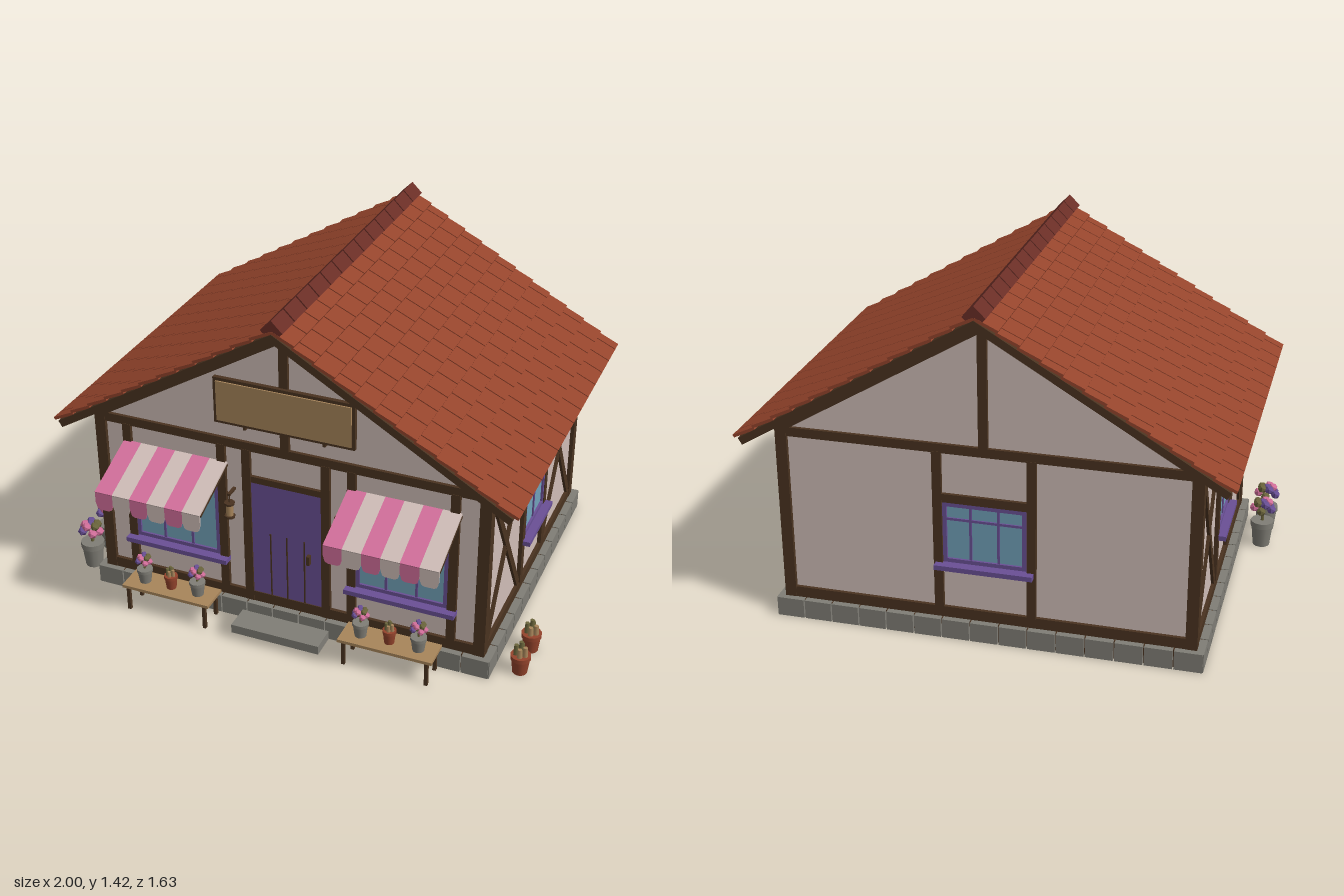
import * as THREE from 'three';

const mat = (name, color) => Object.assign(new THREE.MeshStandardMaterial({ color }), { name });
const plaster = mat('plaster', 0xd0beb8), wood = mat('dark wood', 0x4a3320), tile = mat('roof tile', 0x95442c),
  ridgeMat = mat('ridge tile', 0x6a2e26), stone = mat('stone', 0x807e76), paint = mat('purple paint', 0x6a5096),
  glass = mat('glass', 0x72a2ba), tan = mat('light wood', 0xa8855a), pink = mat('pink', 0xd4709c), leaf = mat('foliage', 0x6b653c);

const ZC = -0.075; // house centre along z
const SLOPE = 0.538, LEN = 1.105, APEX = 1.362, ROOF_Z = 1.485;

function group(parent, name, x = 0, y = 0, z = 0, ry = 0) {
  const g = new THREE.Group();
  g.name = name;
  g.position.set(x, y, z);
  g.rotation.y = ry;
  parent.add(g);
  return g;
}
function add(parent, name, geo, m, x = 0, y = 0, z = 0) {
  const mesh = new THREE.Mesh(geo, m);
  mesh.name = name;
  mesh.position.set(x, y, z);
  parent.add(mesh);
  return mesh;
}
// box given by its bounds
const bar = (p, name, m, x0, x1, y0, y1, z0, z1) =>
  add(p, name, new THREE.BoxGeometry(x1 - x0, y1 - y0, z1 - z0), m, (x0 + x1) / 2, (y0 + y1) / 2, (z0 + z1) / 2);
// upright timber centred on x, on a wall face at local z = 0
const post = (p, x, y0, y1, w = 0.036) => bar(p, 'post', wood, x - w / 2, x + w / 2, y0, y1, -0.01, 0.016);
const beam = (p, x0, x1, y0, y1) => bar(p, 'beam', wood, x0, x1, y0, y1, -0.01, 0.014);

// framed window on a wall face, with evenly spaced panes and one crossbar
function makeWindow(p, x, w, y0, y1, cols, railY, sillW) {
  const g = group(p, 'window', x), h = w / 2, f = 0.016;
  bar(g, 'glass', glass, -h, h, y0, y1, 0, 0.004);
  for (const s of [-1, 1]) bar(g, 'windowFrame', paint, s * (h - f / 2) - f / 2, s * (h - f / 2) + f / 2, y0, y1, 0, 0.013);
  bar(g, 'windowFrame', paint, -h, h, y1 - f, y1, 0, 0.013);
  bar(g, 'windowFrame', paint, -h, h, y0, y0 + f, 0, 0.013);
  for (let i = 1; i < cols; i++) {
    const mx = -h + w * i / cols;
    bar(g, 'mullion', paint, mx - 0.005, mx + 0.005, y0, y1, 0, 0.01);
  }
  bar(g, 'crossbar', paint, -h, h, railY - 0.005, railY + 0.005, 0, 0.01);
  bar(g, 'windowSill', paint, -sillW / 2, sillW / 2, y0 - 0.024, y0 - 0.004, 0, 0.046);
}

function makeAwning(p, cx) {
  const g = group(p, 'awning', cx), W = 0.456, sw = W / 6, tilt = Math.atan2(0.1, 0.25);
  const flap = new THREE.Shape();
  flap.moveTo(-sw / 2, 0.612);
  flap.lineTo(-sw / 2, 0.565);
  flap.lineTo(-sw * 0.4, 0.54);
  flap.lineTo(-sw * 0.25, 0.534);
  flap.lineTo(sw * 0.25, 0.534);
  flap.lineTo(sw * 0.4, 0.54);
  flap.lineTo(sw / 2, 0.565);
  flap.lineTo(sw / 2, 0.612);
  const flapGeo = new THREE.ExtrudeGeometry(flap, { depth: 0.006, bevelEnabled: false });
  for (let i = 0; i < 6; i++) {
    const m = i % 2 ? plaster : pink, x = (i - 2.5) * sw;
    add(g, 'awningStripe', new THREE.BoxGeometry(sw, 0.008, 0.27), m, x, 0.66, 0.135).rotation.x = tilt;
    add(g, 'awningFlap', flapGeo, m, x, 0, 0.254);
  }
  for (const s of [-1, 1])
    add(g, 'awningArm', new THREE.BoxGeometry(0.008, 0.01, 0.26), wood, s * (W / 2 - 0.003), 0.652, 0.13).rotation.x = tilt;
}

function makePot(p, m, x, y, z, r, h) {
  const g = group(p, 'pot', x, y, z);
  add(g, 'potBody', new THREE.CylinderGeometry(r * 0.92, r * 0.72, h * 0.8, 12), m, 0, h * 0.4);
  add(g, 'potRim', new THREE.CylinderGeometry(r, r, h * 0.22, 12), m, 0, h * 0.89);
  return g;
}
function flowerPot(p, x, y, z, r, h) {
  const g = makePot(p, stone, x, y, z, r, h);
  add(g, 'stem', new THREE.CylinderGeometry(r * 0.15, r * 0.15, r, 6), leaf, 0, h + r * 0.4);
  const blob = new THREE.IcosahedronGeometry(r * 0.42, 0);
  for (let i = 0; i < 11; i++) {
    const a = i * 2.4, q = i < 5 ? 0.75 : i < 10 ? 0.5 : 0;
    add(g, 'bloom', blob, [pink, paint, leaf][i % 3], Math.cos(a) * r * q, h + r * (i < 5 ? 1.15 : 1.65), Math.sin(a) * r * q);
  }
}
function cactusPot(p, x, y, z, r, h) {
  const g = makePot(p, tile, x, y, z, r, h);
  [[0, 0, 1.5], [0.45, 0.1, 1], [-0.45, 0.1, 1.1], [0, 0.45, 0.9], [0, -0.45, 1]].forEach(([dx, dz, s], i) =>
    add(g, 'cactus', new THREE.CylinderGeometry(r * 0.22, r * 0.28, r * s, 7), i % 2 ? tan : leaf, dx * r, h + r * s / 2, dz * r));
}

function makeRoof(root) {
  const roof = group(root, 'roof', 0, 0, ZC), rows = 12, cols = 13, pitch = LEN / rows, tw = ROOF_Z / cols;
  for (const ry of [0, Math.PI]) {
    const g = group(group(roof, 'roofSide', 0, 0, 0, ry), 'slope', 0, APEX);
    g.rotation.z = -SLOPE;
    bar(g, 'roofBoard', wood, 0, LEN - 0.012, -0.03, 0, -ROOF_Z / 2, ROOF_Z / 2);
    for (const s of [-1, 1]) bar(g, 'rakeBeam', wood, 0.01, 0.99, -0.068, -0.028, s * 0.635 - 0.012, s * 0.635 + 0.012);
    for (let r = 0; r < rows; r++) {
      const odd = r % 2;
      for (let c = 0; c < cols + odd; c++) {
        const z0 = Math.max(0, (c - odd / 2) * tw), z1 = Math.min(ROOF_Z, (c + 1 - odd / 2) * tw);
        const t = add(g, 'roofTile', new THREE.BoxGeometry(pitch * 1.06, 0.012, z1 - z0 - 0.006), tile,
          (r + 0.5) * pitch, 0.009, (z0 + z1) / 2 - ROOF_Z / 2);
        t.rotation.z = 0.1;
      }
    }
  }
  for (let i = 0; i < cols; i++)
    add(roof, 'ridgeTile', new THREE.BoxGeometry(0.063, 0.063, tw - 0.008), ridgeMat, 0, 1.371, (i + 0.5) * tw - ROOF_Z / 2).rotation.z = Math.PI / 4;
}

function makeBase(root) {
  const g = group(root, 'stoneBase', 0, 0, ZC);
  bar(g, 'baseCore', wood, -0.845, 0.845, 0.001, 0.078, -0.655, 0.655);
  for (const s of [-1, 1]) {
    for (let i = 0; i < 15; i++)
      add(g, 'baseStone', new THREE.BoxGeometry(0.109, 0.08, 0.04), stone, (i - 7) * 0.1145, 0.04, s * 0.65);
    for (let i = 0; i < 12; i++)
      add(g, 'baseStone', new THREE.BoxGeometry(0.04, 0.08, 0.106), stone, s * 0.84, 0.04, (i - 5.5) * 0.1115);
  }
}

export function createModel() {
  const root = new THREE.Group();
  root.name = 'cottageShop';
  makeBase(root);

  // plaster body with gables
  const body = new THREE.Shape([[-0.815, 0.07], [0.815, 0.07], [0.815, 0.845], [0, 1.335], [-0.815, 0.845]].map(([x, y]) => new THREE.Vector2(x, y)));
  add(root, 'walls', new THREE.ExtrudeGeometry(body, { depth: 1.26, bevelEnabled: false }), plaster, 0, 0, ZC - 0.63);
  for (const sx of [-1, 1]) for (const sz of [-1, 1])
    add(root, 'cornerPost', new THREE.BoxGeometry(0.046, 0.75, 0.046), wood, sx * 0.808, 0.455, ZC + sz * 0.623);
  makeRoof(root);

  // timbers shared by the two gable walls
  const front = group(root, 'frontWall', 0, 0, ZC + 0.63), back = group(root, 'backWall', 0, 0, ZC - 0.63, Math.PI);
  for (const w of [front, back]) {
    beam(w, -0.82, 0.82, 0.08, 0.125);
    beam(w, -0.82, 0.82, 0.785, 0.822);
    post(w, 0, 0.82, 1.31);
  }

  // back wall window
  for (const s of [-1, 1]) post(back, s * 0.185, 0.12, 0.79);
  beam(back, -0.17, 0.17, 0.58, 0.615);
  makeWindow(back, 0, 0.33, 0.325, 0.58, 3, 0.51, 0.39);

  // side walls with crossed braces
  for (const s of [-1, 1]) {
    const w = group(root, 'sideWall', s * 0.815, 0, ZC, s * Math.PI / 2);
    beam(w, -0.62, 0.62, 0.08, 0.12);
    beam(w, -0.62, 0.62, 0.775, 0.82);
    beam(w, -0.14, 0.14, 0.58, 0.62);
    makeWindow(w, 0, 0.275, 0.325, 0.58, 2, 0.51, 0.335);
    for (const k of [-1, 1]) {
      post(w, k * 0.154, 0.12, 0.79);
      for (const d of [-1, 1])
        add(w, 'brace', new THREE.BoxGeometry(0.032, 0.765, 0.02), wood, k * 0.385, 0.448, 0.001 + d * 0.0005).rotation.z = d * 0.56;
    }
  }

  // door
  for (const s of [-1, 1]) post(front, s * 0.167, 0.08, 0.79);
  beam(front, -0.16, 0.16, 0.645, 0.672);
  bar(front, 'door', paint, -0.149, 0.149, 0.122, 0.645, 0, 0.01);
  for (const x of [-0.07, 0, 0.075]) bar(front, 'doorGroove', wood, x - 0.003, x + 0.003, 0.125, 0.42, 0.01, 0.012);
  bar(front, 'doorHandle', wood, 0.09, 0.104, 0.325, 0.365, 0.01, 0.03);
  bar(root, 'doorStep', stone, -0.19, 0.19, 0, 0.038, 0.58, 0.705);

  // shop windows, awnings, lanterns and benches
  for (const s of [-1, 1]) {
    for (const x of [0.69, 0.275]) post(front, s * x, 0.12, 0.79);
    beam(front, s * 0.4825 - 0.2, s * 0.4825 + 0.2, 0.63, 0.66);
    makeWindow(front, s * 0.4825, 0.378, 0.268, 0.63, 3, 0.56, 0.455);
    makeAwning(front, s * 0.4825 + 0.006);

    const lamp = group(front, 'lantern', s * 0.226, 0, 0.05);
    bar(lamp, 'bracket', wood, -0.006, 0.006, 0.588, 0.598, -0.05, 0.006);
    bar(lamp, 'hanger', wood, -0.002, 0.002, 0.555, 0.59, -0.002, 0.002);
    add(lamp, 'lanternBody', new THREE.CylinderGeometry(0.015, 0.015, 0.05, 8), tan, 0, 0.52);
    for (const y of [0.492, 0.552]) add(lamp, 'lanternCap', new THREE.CylinderGeometry(0.022, 0.022, 0.009, 8), wood, 0, y);

    const bench = group(root, 'bench', s * 0.475, 0, 0.666);
    bar(bench, 'benchTop', tan, -0.195, 0.195, 0.106, 0.119, -0.062, 0.062);
    for (const x of [-0.172, 0.172]) {
      for (const z of [-0.05, 0.05]) bar(bench, 'benchLeg', wood, x - 0.007, x + 0.007, 0, 0.106, z - 0.007, z + 0.007);
      bar(bench, 'benchRail', wood, x - 0.005, x + 0.005, 0.09, 0.106, -0.05, 0.05);
    }
    for (const x of [-0.12, 0.12]) flowerPot(bench, x, 0.119, 0, 0.033, 0.063);
    cactusPot(bench, 0, 0.119, 0, 0.028, 0.06);
  }

  // hanging board on the gable
  bar(front, 'boardFrame', wood, -0.287, 0.295, 0.897, 1.093, 0.012, 0.03);
  bar(front, 'boardPanel', tan, -0.274, 0.282, 0.91, 1.08, 0.03, 0.036);
  for (const x of [-0.16, 0.17]) bar(front, 'boardHook', wood, x - 0.006, x + 0.006, 0.885, 0.9, 0.01, 0.03);

  // pots beside the house
  for (const z of [0.34, 0.49]) {
    flowerPot(root, -0.948, 0, z, 0.05, 0.115);
    cactusPot(root, 0.958, 0, z + 0.01, 0.041, 0.082);
  }
  return root;
}
